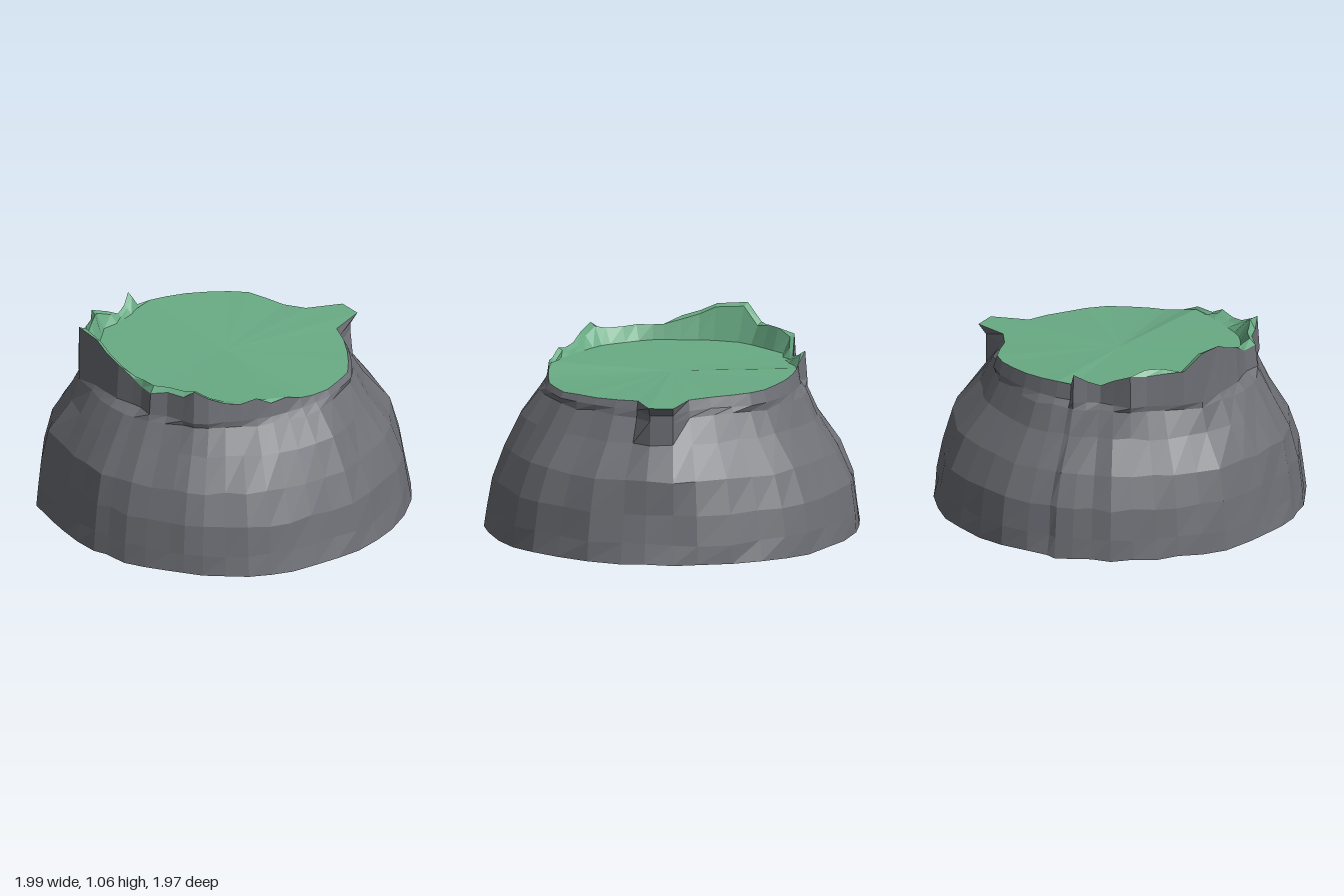
import * as THREE from 'three';

const rockMat = new THREE.MeshStandardMaterial({ color: 0x6e7076, flatShading: true, side: THREE.DoubleSide });
rockMat.name = 'grey rock';
const grassMat = new THREE.MeshStandardMaterial({ color: 0x69ab84, flatShading: true, side: THREE.DoubleSide });
grassMat.name = 'green grass';

// Raised lip: angle from the front towards +x, radius, height, width of the lip
const lip = [
  [-83, 0.67, 0.87, 0.02], [-80.5, 0.71, 0.94, 0.06], [-75, 0.68, 0.90, 0.05],
  [-69, 0.67, 0.88, 0.04], [-63, 0.70, 0.92, 0.06], [-56, 0.75, 0.96, 0.07],
  [-49, 0.73, 0.95, 0.06], [-42, 0.74, 0.96, 0.07], [-34, 0.77, 0.97, 0.09],
  [-26.5, 0.79, 1.06, 0.10], [-15, 0.735, 1.05, 0.06], [-8, 0.72, 1.01, 0.06],
  [0, 0.71, 0.98, 0.06], [8, 0.69, 0.93, 0.03], [13, 0.69, 0.90, 0.03],
  [20, 0.73, 0.905, 0.08], [27, 0.70, 0.92, 0.06], [35, 0.72, 0.92, 0.08],
  [40, 0.74, 0.97, 0.10], [46, 0.73, 0.93, 0.10], [53, 0.70, 0.89, 0.08],
  [60, 0.69, 0.88, 0.07], [67, 0.68, 0.90, 0.06], [74, 0.68, 0.86, 0.05],
  [82, 0.67, 0.87, 0.02],
];
// Plain back edge with the pointed spout: angle, radius, height
const backEdge = [
  [90, 0.66, 0.835], [98, 0.66, 0.82], [107, 0.67, 0.815], [116, 0.67, 0.815],
  [126, 0.68, 0.815], [136, 0.66, 0.82], [146, 0.65, 0.82], [157, 0.65, 0.825],
  [168, 0.655, 0.83], [175.5, 0.835, 0.835], [184.5, 0.835, 0.835], [192, 0.655, 0.84],
  [203, 0.62, 0.84], [213, 0.64, 0.845], [222, 0.67, 0.85], [231, 0.67, 0.85],
  [241, 0.66, 0.855], [251, 0.66, 0.86], [261, 0.66, 0.865], [270, 0.665, 0.87],
];
const columns = [...lip, ...backEdge.map((c) => [...c, 0])];

// Rock rings: height, radius at front, +x, back, -x, share of roughness, diagonal slimming
const rings = [
  [0.01, 0.985, 1.0, 0.99, 1.0, 0.3, 0],
  [0.12, 0.975, 0.975, 0.97, 0.985, 1, 0],
  [0.28, 0.955, 0.95, 0.94, 0.965, 1, 0],
  [0.45, 0.93, 0.89, 0.91, 0.89, 1, 0.02],
  [0.62, 0.84, 0.815, 0.77, 0.775, 1, 0.035],
  [0.75, 0.77, 0.715, 0.69, 0.715, 0.5, 0.025],
];

function seeded(seed) {
  return () => {
    seed = (seed * 16807) % 2147483647;
    return (seed / 2147483647) * 2 - 1;
  };
}

function polar(deg, r, y) {
  const a = THREE.MathUtils.degToRad(deg);
  return [Math.sin(a) * r, y, Math.cos(a) * r];
}

// Smooth blend between the four compass radii
function ringRadius(ring, deg) {
  const t = (((deg % 360) + 360) % 360) / 90;
  const i = Math.floor(t);
  const f = t - i;
  const r = THREE.MathUtils.lerp(ring[1 + i], ring[1 + ((i + 1) % 4)], f * f * (3 - 2 * f));
  return deg > 0 ? r - ring[6] * Math.sin(f * Math.PI) : r;
}

const bump = (deg, at, width) => Math.exp(-(((deg - at) / width) ** 2));

// Skin closed loops of equal length, listed from bottom to top
function skin(loops) {
  const n = loops[0].length;
  const index = [];
  for (let j = 0; j < loops.length - 1; j++) {
    for (let i = 0; i < n; i++) {
      const a = j * n + i, b = j * n + ((i + 1) % n);
      index.push(a, b, b + n, a, b + n, a + n);
    }
  }
  const g = new THREE.BufferGeometry();
  g.setAttribute('position', new THREE.Float32BufferAttribute(loops.flat(2), 3));
  g.setIndex(index);
  const flat = g.toNonIndexed();
  flat.computeVertexNormals();
  return flat;
}

export function createModel() {
  const group = new THREE.Group();
  group.name = 'rockMound';
  const rand = seeded(4217);

  const rim = columns.map(([deg, r, y]) => polar(deg, r, y));
  const crest = columns.map(([deg, r, y, w]) => {
    let inner = y - 0.015;
    if (Math.abs(deg) <= 40) inner = Math.max(inner, 0.94);
    if (deg >= -49 && deg <= -42) inner = 0.98;
    return polar(deg, r - w * 0.4, w ? inner : y);
  });
  const turfEdge = columns.map(([deg, r, y, w]) => polar(deg, r - w, w ? Math.min(y, 0.86) : y));

  // Rough rock wall with upright pleats and a rib under the spout, open underneath
  const pleats = columns.map(() => rand() * 0.014);
  const wallLoops = rings.map((ring, j) => columns.map(([deg, rimR], i) => {
    let r = ringRadius(ring, deg) + pleats[i] * ring[5] + rand() * 0.004;
    if (j < 4) r += 0.04 * bump(deg, -24, 6) + 0.03 * bump(deg, 61, 6);
    if (j === 3 || j === 4) r += 0.03 * bump(deg, 180, 8);
    if (j > 3) r = Math.max(r, Math.min(rimR, 0.79));
    return polar(deg, r, ring[0] + rand() * 0.008);
  }));
  // Narrow shoulder where the wall turns up into the rim
  const shoulder = columns.map(([deg, r, , w]) => polar(deg, Math.min(r + (w ? 0.012 : 0.02), 0.79), 0.785));
  const wall = new THREE.Mesh(skin([...wallLoops, shoulder, rim]), rockMat);
  wall.name = 'rockWall';

  // Grassy crest and inner face of the raised lip
  const lipMesh = new THREE.Mesh(skin([rim, crest, turfEdge]), grassMat);
  lipMesh.name = 'grassLip';

  // Nearly flat turf closing the top
  const centre = columns.map(() => [0, 0.847, 0]);
  const turf = new THREE.Mesh(skin([turfEdge, centre]), grassMat);
  turf.name = 'grassTop';

  group.add(wall, lipMesh, turf);
  return group;
}
